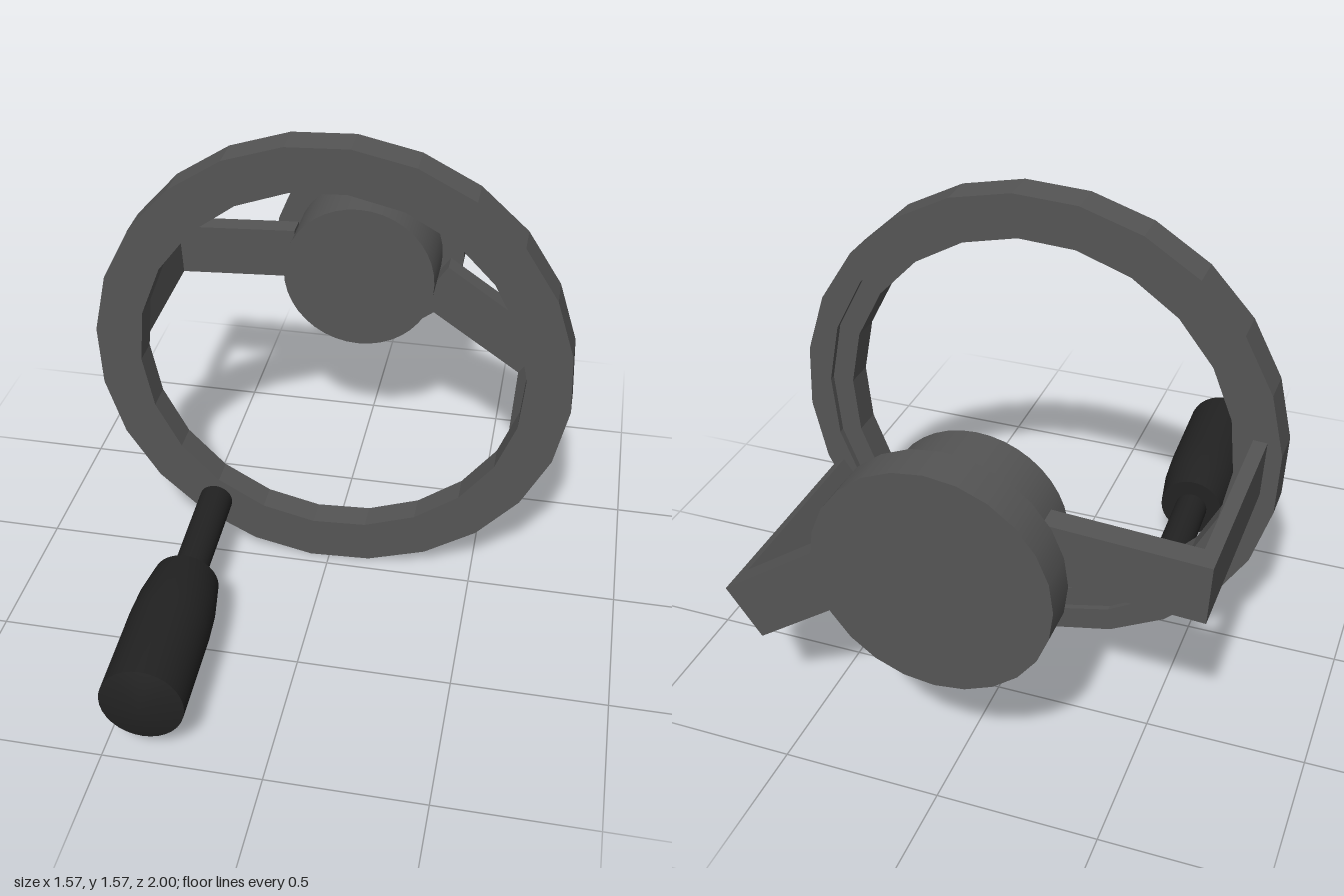
import * as THREE from 'three';
import { toCreasedNormals } from 'three/addons/utils/BufferGeometryUtils.js';

const metal = new THREE.MeshStandardMaterial({ color: 0x555555 });
const black = new THREE.MeshStandardMaterial({ color: 0x222222 });

function add(parent, name, geometry, material) {
  const mesh = new THREE.Mesh(geometry, material);
  mesh.name = name;
  parent.add(mesh);
  return mesh;
}

// Corners of a regular polygon
function polygon(radius, sides, offset) {
  return Array.from({ length: sides }, (_, i) => {
    const a = THREE.MathUtils.degToRad(offset) + (i / sides) * Math.PI * 2;
    return new THREE.Vector2(Math.cos(a) * radius, Math.sin(a) * radius);
  });
}

// Faceted ring between z0 and z1
function ring(outer, inner, z0, z1) {
  const shape = new THREE.Shape(polygon(outer, 24, 10.3));
  shape.holes.push(new THREE.Path(polygon(inner, 22, 3.2)));
  return new THREE.ExtrudeGeometry(shape, { depth: z1 - z0, bevelEnabled: false }).translate(0, 0.79, z0);
}

// Disc facing z between z0 and z1
function disc(radius, z0, z1, sides) {
  return new THREE.CylinderGeometry(radius, radius, z1 - z0, sides)
    .rotateX(Math.PI / 2).translate(-0.01, 0.795, (z0 + z1) / 2);
}

// L-shaped spoke: flat arm from the hub, then a leg forward to the rim.
// The group's origin is the leg centre and its x axis points outward.
function spoke(name, x, y, angle, back, armLength, width) {
  const group = new THREE.Group();
  group.name = name;
  const t = 0.044, front = -0.14;
  const profile = new THREE.Shape([
    [t / 2, -front], [-t / 2, -front], [-t / 2, -back - 0.075], [-armLength, -back - 0.075],
    [-armLength, -back], [t / 2, -back],
  ].map(([px, pz]) => new THREE.Vector2(px, pz)));
  const geometry = new THREE.ExtrudeGeometry(profile, { depth: width, bevelEnabled: false })
    .translate(0, 0, -width / 2).rotateX(-Math.PI / 2);
  add(group, name + 'Bar', geometry, metal);
  group.position.set(x, y, 0);
  group.rotation.z = angle;
  return group;
}

function lathe(points, sides) {
  const geometry = new THREE.LatheGeometry(points.map(([r, s]) => new THREE.Vector2(r, s)), sides);
  return toCreasedNormals(geometry, 0.5);
}

export function createModel() {
  const model = new THREE.Group();
  model.name = 'handwheel';

  // Rim with a shallow step around the inside of its back
  add(model, 'rim', ring(0.79, 0.64, -0.135, -0.04), metal);
  add(model, 'rimBackBand', ring(0.79, 0.71, -0.155, -0.135), metal);

  // Hub and its wide rear flange
  add(model, 'hub', disc(0.275, -0.88, -0.645, 40), metal);
  add(model, 'hubFlange', disc(0.355, -1, -0.88, 24), metal);

  // Two bent spokes
  model.add(spoke('rightSpoke', -0.713, 0.801, Math.PI + 0.056, -0.8, 0.458, 0.187));
  model.add(spoke('leftSpoke', 0.652, 0.43, -0.602, -0.875, 0.495, 0.188));

  // Crank handle, leaning slightly off the wheel's axis
  const handle = new THREE.Group();
  handle.name = 'handle';
  add(handle, 'handleRod', lathe([[0, -0.02], [0.058, -0.02], [0.056, 0.46]], 24), black);
  add(handle, 'handleGrip', lathe([
    [0, 0.447], [0.109, 0.447], [0.127, 0.57], [0.132, 0.68], [0.131, 1.008], [0, 1.04],
  ], 32), black);
  const base = new THREE.Vector3(-0.405, 0.197, -0.04);
  const axis = new THREE.Vector3(-0.37, 0.21, 1).sub(base).normalize();
  handle.position.copy(base);
  handle.quaternion.setFromUnitVectors(new THREE.Vector3(0, 1, 0), axis);
  model.add(handle);

  return model;
}
